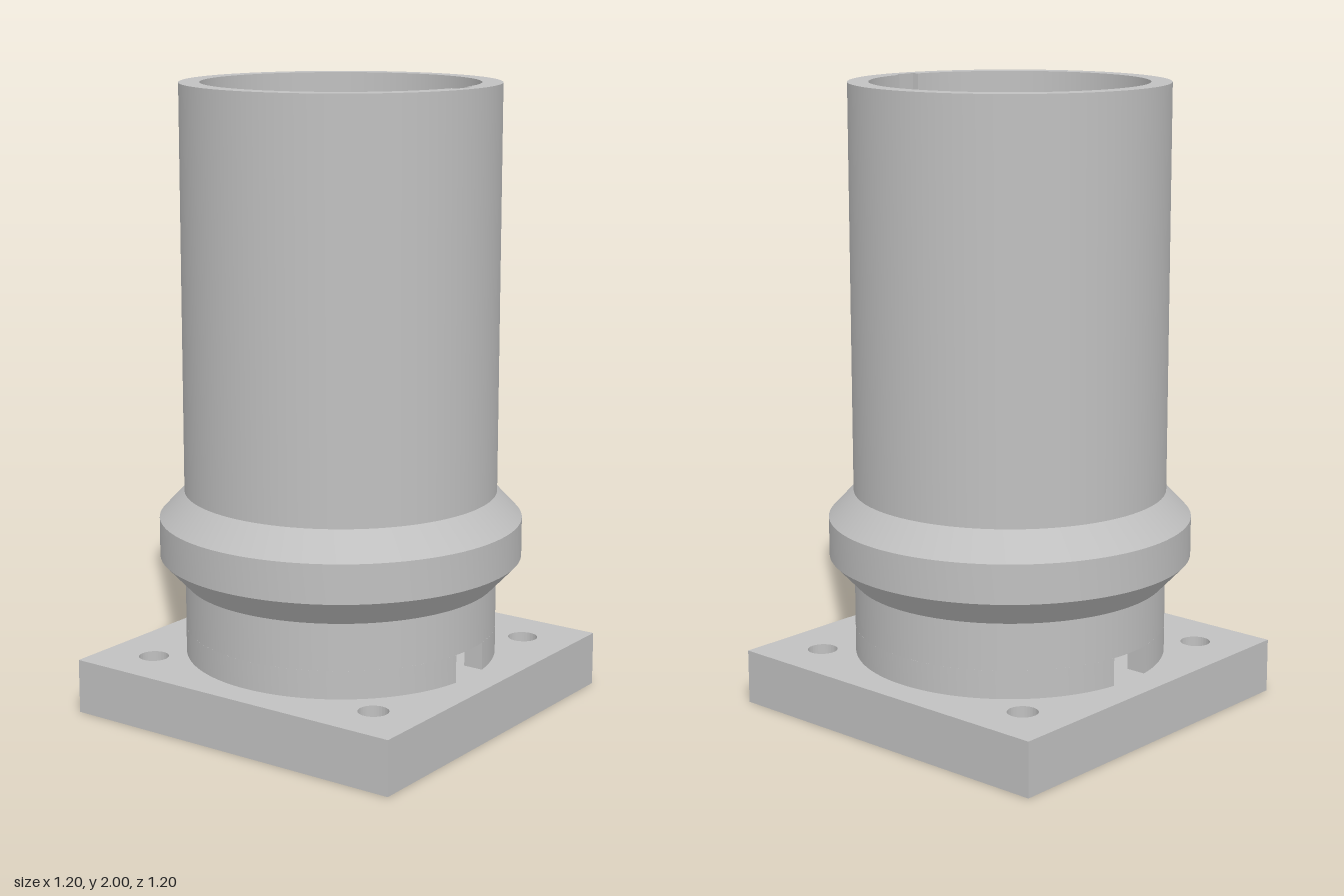
import * as THREE from 'three';
import { toCreasedNormals } from 'three/addons/utils/BufferGeometryUtils.js';

const PLATE_TOP = 0.175, WINDOW_TOP = 0.265, HEIGHT = 2;
const OUTER = 0.5, INNER = 0.435;

// Extrude a plan outline upwards from y0 to y1 with smooth curved walls
function prism(shape, y0, y1) {
  const geo = new THREE.ExtrudeGeometry(shape, { depth: y1 - y0, bevelEnabled: false, curveSegments: 48 });
  geo.rotateX(-Math.PI / 2);
  geo.translate(0, y0, 0);
  return toCreasedNormals(geo, Math.PI / 6);
}

export function createModel() {
  const model = new THREE.Group();
  const grey = new THREE.MeshStandardMaterial({ color: 0xc0c0c0 });
  grey.name = 'grey';
  const add = (name, geometry) => {
    const mesh = new THREE.Mesh(geometry, grey);
    mesh.name = name;
    model.add(mesh);
  };

  // Square base plate with four bolt holes
  const plate = new THREE.Shape();
  plate.moveTo(-0.6, -0.6).lineTo(0.6, -0.6).lineTo(0.6, 0.6).lineTo(-0.6, 0.6).closePath();
  for (const x of [-0.43, 0.43]) {
    for (const z of [-0.43, 0.43]) {
      plate.holes.push(new THREE.Path().absarc(x, z, 0.048, 0, Math.PI * 2, true));
    }
  }
  add('basePlate', prism(plate, 0, PLATE_TOP));

  // Foot of the tube: two arcs leaving a square window on either side
  const half = 0.075;
  const ao = Math.asin(half / OUTER), ai = Math.asin(half / INNER);
  for (const [name, turn] of [['backFoot', 0], ['frontFoot', Math.PI]]) {
    const arc = new THREE.Shape();
    arc.absarc(0, 0, OUTER, turn + ao, turn + Math.PI - ao, false);
    arc.absarc(0, 0, INNER, turn + Math.PI - ai, turn + ai, true);
    arc.closePath();
    add(name, prism(arc, PLATE_TOP, WINDOW_TOP));
  }

  // Tube with a keyway cut along the inside of its left wall
  const tube = new THREE.Shape().absarc(0, 0, OUTER, 0, Math.PI * 2, false);
  const key = 0.043, ak = Math.asin(key / INNER);
  const bore = new THREE.Path();
  bore.absarc(0, 0, INNER, ak, Math.PI * 2 - ak, false);
  bore.lineTo(0.455, -key).lineTo(0.455, key).closePath();
  tube.holes.push(bore);
  add('tube', prism(tube, WINDOW_TOP, HEIGHT));

  // Collar with chamfered edges
  const profile = [[OUTER, 0.415], [0.58, 0.5], [0.58, 0.625], [OUTER, 0.71]]
    .map(([r, y]) => new THREE.Vector2(r, y));
  add('collar', toCreasedNormals(new THREE.LatheGeometry(profile, 96), Math.PI / 6));

  return model;
}
